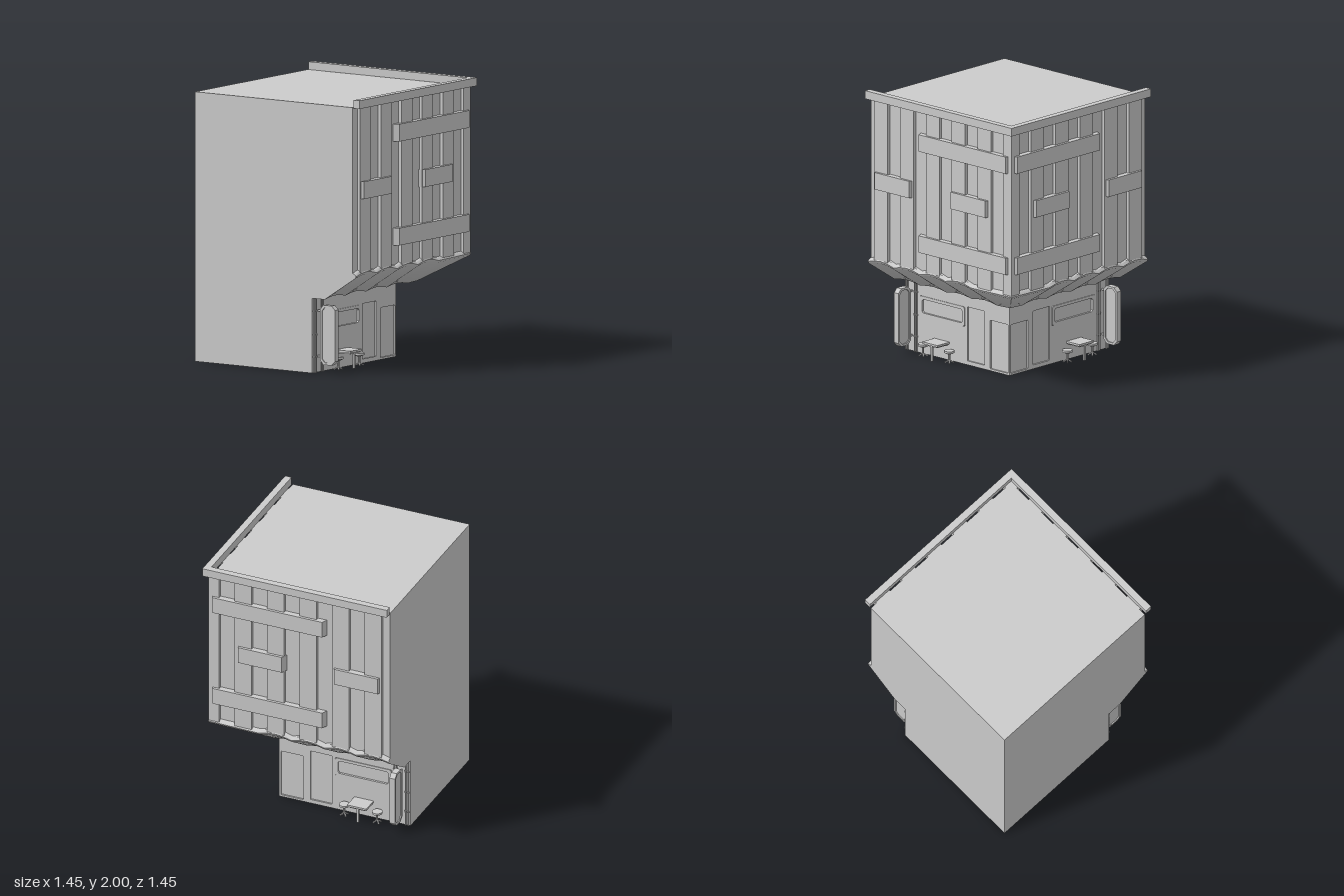
import * as THREE from 'three';
import { toCreasedNormals, mergeGeometries } from 'three/addons/utils/BufferGeometryUtils.js';

const BACK = -0.725, WALL = 0.305;
const grey = new THREE.MeshStandardMaterial({ color: 0xcccccc });

// Box given by its minimum and maximum corners
function box(x0, x1, y0, y1, z0, z1) {
  return new THREE.BoxGeometry(x1 - x0, y1 - y0, z1 - z0)
    .translate((x0 + x1) / 2, (y0 + y1) / 2, (z0 + z1) / 2);
}

function cyl(rTop, rBottom, y0, y1, x, z, sides = 12) {
  return new THREE.CylinderGeometry(rTop, rBottom, y1 - y0, sides).translate(x, (y0 + y1) / 2, z);
}

function extrude(shape, depth) {
  return new THREE.ExtrudeGeometry(shape, { depth, bevelEnabled: false });
}

// Rectangle with cut corners, as a list of points
function cutRect(x0, x1, y0, y1, c) {
  return [[x0 + c, y0], [x1 - c, y0], [x1, y0 + c], [x1, y1 - c],
    [x1 - c, y1], [x0 + c, y1], [x0, y1 - c], [x0, y0 + c]].map(p => new THREE.Vector2(...p));
}

// Rectangular or cut-corner ring
function ring(outer, inner, depth) {
  const s = new THREE.Shape(outer);
  s.holes.push(new THREE.Path(inner));
  return extrude(s, depth);
}

// Reflects a non-indexed geometry across the diagonal x = z, keeping faces outward
function mirrored(geo) {
  const g = geo.clone();
  for (const name of ['position', 'normal']) {
    const src = geo.attributes[name], dst = g.attributes[name];
    for (let i = 0; i < src.count; i++) {
      const j = i - (i % 3) + (2 - (i % 3));
      dst.setXYZ(j, src.getZ(i), src.getY(i), src.getX(i));
    }
  }
  return g;
}

// Scalloped awning: a section swept along the wall and mitred at the corner
function awning() {
  const section = [[0.655, 0.75, 0.028], [0.675, 0.744, 0.028], [0.69, 0.727, 0.022],
    [0.682, 0.712, 0.02], [0.415, 0.54, 0.016], [0.29, 0.54, 0.016]]; // depth, height, lift
  const cols = [], steps = 4, first = -0.725, period = 0.254, waves = 4;
  for (let i = 0; i <= steps * waves; i++) {
    const t = i / steps;
    cols.push([first + t * period, Math.abs(Math.sin(Math.PI * t))]);
  }
  cols.push([null, 0.3]);
  const pos = [], idx = [], n = section.length;
  for (const [x, w] of cols)
    for (const [d, y, lift] of section) pos.push(x === null ? d : Math.min(x, d), y + lift * w, d);
  for (let c = 0; c < cols.length - 1; c++)
    for (let k = 0; k < n - 1; k++) {
      const a = c * n + k, b = a + n;
      idx.push(a, a + 1, b, b, a + 1, b + 1);
    }
  const g = new THREE.BufferGeometry();
  g.setAttribute('position', new THREE.Float32BufferAttribute(pos, 3));
  g.setIndex(idx);
  return toCreasedNormals(g, 0.5);
}

// Horizontal board with slanted ends
function board(x0, x1, y0, y1) {
  const g = box(x0, x1, y0, y1, 0.66, 0.705), p = g.attributes.position, mid = (x0 + x1) / 2;
  for (let i = 0; i < p.count; i++)
    if (p.getZ(i) > 0.69) p.setX(i, p.getX(i) + (p.getX(i) > mid ? -0.02 : 0.02));
  return g;
}

function stool(x, z) {
  const parts = [
    cyl(0.038, 0.038, 0.08, 0.095, x, z, 16),
    cyl(0.034, 0.022, 0.072, 0.08, x, z, 16),
    cyl(0.008, 0.008, 0.02, 0.074, x, z, 8),
  ];
  for (let i = 0; i < 4; i++) {
    const foot = new THREE.BoxGeometry(0.036, 0.008, 0.01).rotateZ(-0.55).translate(0.017, 0.015, 0);
    parts.push(foot.rotateY(Math.PI / 4 + i * Math.PI / 2).translate(x, 0, z));
  }
  return mergeGeometries(parts);
}

export function createModel() {
  const model = new THREE.Group();
  model.name = 'cornerShop';
  const front = new THREE.Group(), side = new THREE.Group();
  front.name = 'frontFacade';
  side.name = 'sideFacade';
  model.add(front, side);

  function addTo(group, name, geo) {
    const m = new THREE.Mesh(geo, grey);
    m.name = name;
    group.add(m);
  }
  // Adds a part to both street facades
  function both(name, geo) {
    const g = toCreasedNormals(geo, 0.6);
    addTo(front, name, g);
    addTo(side, name, mirrored(g));
  }

  // Solid core of both storeys
  const core = 0.293;
  addTo(model, 'lowerStorey', box(BACK, core, 0, 0.6, BACK, core));
  addTo(model, 'upperStorey', box(BACK, 0.66, 0.735, 1.945, BACK, 0.66));
  addTo(model, 'storeyJoint', box(BACK, 0.295, 0.55, 0.76, BACK, 0.295));

  // L-shaped parapet along the two street edges
  const parapet = new THREE.Shape([[BACK, -0.72], [0.72, -0.72], [0.72, 0.725], [0.67, 0.725],
    [0.67, -0.67], [BACK, -0.67]].map(p => new THREE.Vector2(...p)));
  addTo(model, 'parapet', extrude(parapet, 0.06).rotateX(-Math.PI / 2).translate(0, 1.94, 0));

  // Raised cladding planks
  for (let i = 0; i < 6; i++) {
    const x = -0.667 + i * 0.254;
    both('plank', box(x, i === 5 ? 0.685 : x + 0.133, 0.74, 1.94, 0.65, 0.685));
  }

  // Boards nailed across the planks
  for (const [x0, x1, y] of [[-0.23, 0.665, 1.645], [-0.23, 0.665, 0.895],
    [-0.665, -0.285, 1.28], [0.085, 0.465, 1.28]]) both('crossBoard', board(x0, x1, y, y + 0.125));

  // Awning and its closing face at the back end
  both('awning', awning());
  const end = new THREE.Shape([[0.29, 0.54], [0.415, 0.54], [0.682, 0.712], [0.69, 0.727],
    [0.675, 0.744], [0.655, 0.75], [0.29, 0.75]].map(p => new THREE.Vector2(...p)));
  both('awningEnd', new THREE.ShapeGeometry(end).rotateY(-Math.PI / 2).translate(BACK, 0, 0));

  // Shop wall with openings for window, panel and door
  const wall = new THREE.Shape(cutRect(BACK, WALL, 0, 0.56, 0));
  const openings = [[-0.575, -0.135, 0.28, 0.425], [-0.11, 0.06, 0.03, 0.43], [0.115, 0.29, 0.015, 0.375]];
  for (const o of openings) wall.holes.push(new THREE.Path(cutRect(...o, 0.004)));
  both('shopWall', extrude(wall, WALL - core).translate(0, 0, core));
  both('windowFrame', ring(cutRect(-0.575, -0.135, 0.28, 0.425, 0.012),
    cutRect(-0.553, -0.157, 0.302, 0.403, 0.012), 0.016).translate(0, 0, 0.294));

  // Drain pipes with collars
  for (const x of [-0.71, -0.69, -0.622, -0.602]) {
    both('pipe', cyl(0.006, 0.006, 0, 0.56, x, 0.314, 8));
    for (const y of [0.11, 0.27, 0.44]) both('pipeCollar', cyl(0.009, 0.009, y, y + 0.012, x, 0.314, 8));
  }

  // Hanging sign with raised rim, held by two rods
  const sx = -0.655, z0 = 0.34, z1 = 0.47;
  const place = (g, x) => g.rotateY(-Math.PI / 2).translate(x, 0, 0);
  both('signRim', place(ring(cutRect(z0, z1, 0.06, 0.49, 0.03),
    cutRect(z0 + 0.016, z1 - 0.016, 0.076, 0.474, 0.025), 0.044), sx + 0.022));
  both('signPanel', place(extrude(new THREE.Shape(
    cutRect(z0 + 0.01, z1 - 0.01, 0.07, 0.48, 0.025)), 0.028), sx + 0.014));
  for (const y of [0.11, 0.44]) both('signRod', box(sx - 0.006, sx + 0.006, y, y + 0.012, 0.3, z0 + 0.005));

  // Wall table and two stools
  both('tableTop', box(-0.435, -0.285, 0.12, 0.135, 0.3, 0.433));
  both('tableApron', box(-0.42, -0.3, 0.11, 0.12, 0.3, 0.422));
  both('tableLeg', box(-0.368, -0.352, 0, 0.112, 0.402, 0.418));
  for (const x of [-0.49, -0.232]) both('stool', stool(x, 0.365));

  return model;
}
